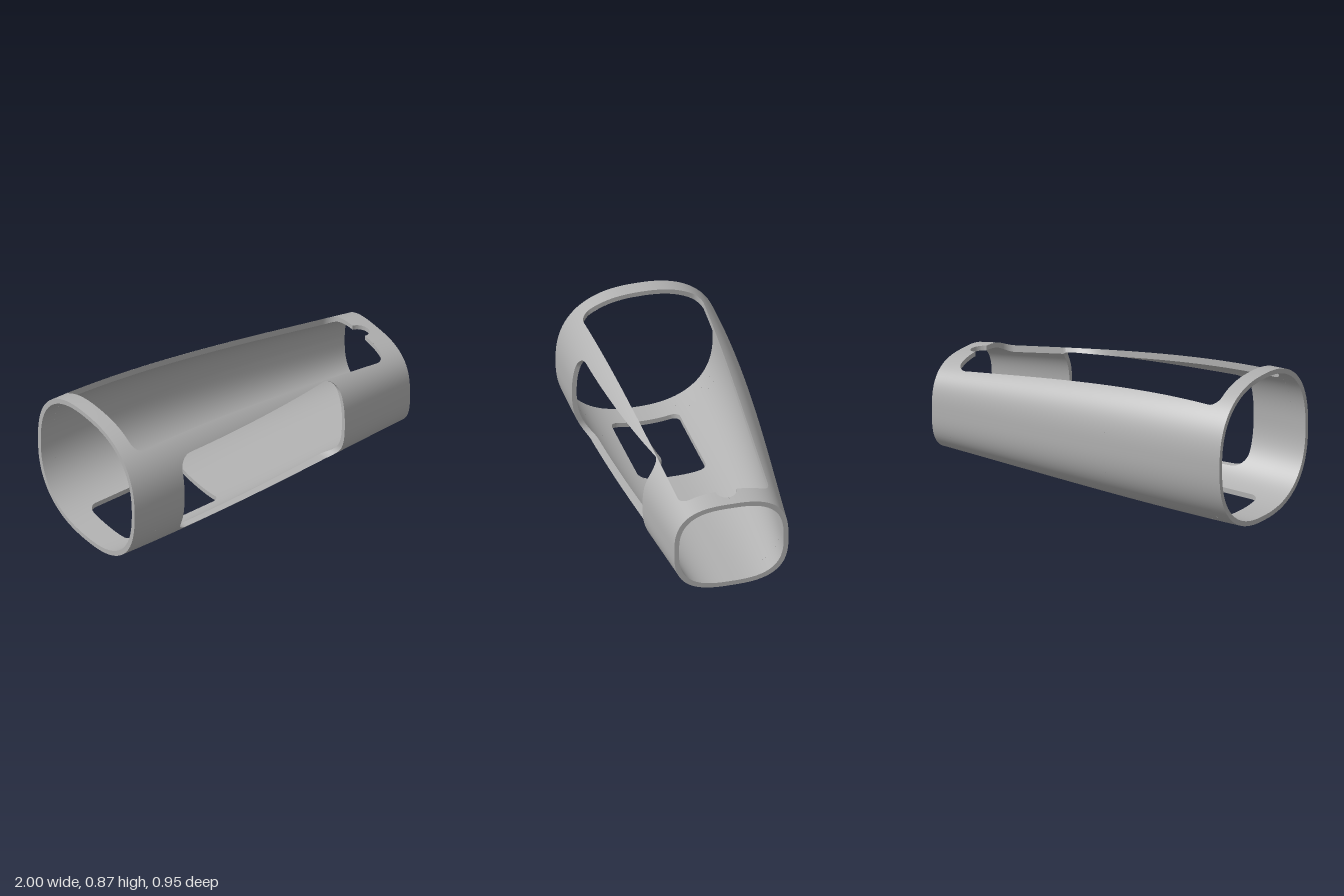
import * as THREE from 'three';
import { toCreasedNormals } from 'three/addons/utils/BufferGeometryUtils.js';

const WALL = 0.028;
const HALF_PI = Math.PI / 2;

// Smooth value along the length, from end values and end slopes
function ease(x, p0, m0, p1, m1) {
  const s = (x + 1) / 2, s2 = s * s, s3 = s2 * s;
  return p0 * (2 * s3 - 3 * s2 + 1) + 2 * m0 * (s3 - 2 * s2 + s)
    + p1 * (3 * s2 - 2 * s3) + 2 * m1 * (s3 - s2);
}

// Superellipse cross-section of the sleeve at x, shrunk by inset
function section(x, inset) {
  const top = ease(x, 0.873, 0, 0.667, -0.14);
  const bottom = ease(x, 0, 0.03, 0.115, 0.062);
  return {
    w: ease(x, 0.475, 0.025, 0.335, -0.1) - inset,
    h: (top - bottom) / 2 - inset,
    cy: (top + bottom) / 2,
    n: 2.42 + 0.45 * ((x + 1) / 2) ** 2,
  };
}

function point(x, phi, inset) {
  const { w, h, cy, n } = section(x, inset);
  const c = Math.cos(phi), s = Math.sin(phi);
  const r = (Math.abs(c / w) ** n + Math.abs(s / h) ** n) ** (-1 / n);
  return new THREE.Vector3(x, cy + r * s, r * c);
}

function normal(x, phi, inset) {
  const e = 1e-3;
  const dx = point(x + e, phi, inset).sub(point(x - e, phi, inset));
  const dp = point(x, phi + e, inset).sub(point(x, phi - e, inset));
  return dx.cross(dp).normalize();
}

// Angle of the wall point at a given z (upper half) or a given y (front half)
function angleAtZ(x, z, inset) {
  const { w, h, n } = section(x, inset);
  const k = Math.min(1, Math.abs(z) / w);
  return Math.atan2(h * (1 - k ** n) ** (1 / n), z);
}
function angleAtY(x, y, inset) {
  const { w, h, cy, n } = section(x, inset);
  const k = Math.min(1, Math.abs(y - cy) / h);
  return Math.atan2(y - cy, w * (1 - k ** n) ** (1 / n));
}

// Rounded rectangular openings: extent a..b, half-width, corner radius
const TOP = { a: -0.908, b: 0.882, half: x => 0.308 - 0.053 * x, r: 0.06 };
const FRONT = { a: -0.655, b: 0.514, half: () => 0.266, r: 0.08 };
const BOTTOM = { a: -0.845, b: -0.218, half: () => 0.2, r: 0.05 };
const NOTCH = 0.06;
const FRONT_MID = 0.415;

function halfWidth(o, x) {
  if (x <= o.a || x >= o.b) return 0;
  const d = Math.min(x - o.a, o.b - x);
  return o.half(x) - (d < o.r ? o.r - Math.sqrt(o.r ** 2 - (o.r - d) ** 2) : 0);
}
function openings(x) {
  const d = x - TOP.b;
  const top = d >= 0 && d < NOTCH ? Math.sqrt(NOTCH ** 2 - d * d) : halfWidth(TOP, x);
  return [top, halfWidth(FRONT, x), halfWidth(BOTTOM, x)];
}

// Stations along x; straight opening ends become several stations at one x
function makeStations() {
  const xs = [];
  for (let i = 0; i <= 64; i++) xs.push(-1 + i / 32);
  for (const o of [TOP, FRONT, BOTTOM]) {
    for (let k = 0; k <= 8; k++) {
      const d = o.r * (1 - Math.cos(k / 8 * HALF_PI));
      xs.push(o.a + d, o.b - d);
    }
  }
  for (let k = 1; k <= 10; k++) xs.push(TOP.b + NOTCH * Math.sin(k / 10 * HALF_PI));
  xs.sort((p, q) => p - q);
  const stations = [];
  xs.forEach((x, i) => {
    if (i && x - xs[i - 1] < 1e-4) return;
    const before = openings(x - 1e-5), after = openings(x + 1e-5);
    const jump = before.some((v, k) => Math.abs(v - after[k]) > 0.01);
    const steps = jump ? 14 : 0;
    for (let k = 0; k <= steps; k++) {
      const t = jump ? k / steps : 0.5;
      stations.push({ x, open: before.map((v, m) => v + (after[m] - v) * t) });
    }
  });
  return stations;
}

// Angle range of each solid panel, and the openings at its low and high edge
const PANELS = [
  { name: 'frontUpperPanel', segs: 28, lo: 1, hi: 0, range: ({ x, open }, t) =>
    [angleAtY(x, FRONT_MID + open[1], t), angleAtZ(x, open[0], t)] },
  { name: 'backPanel', segs: 64, lo: 0, hi: 2, range: ({ x, open }, t) =>
    [angleAtZ(x, -open[0], t), 2 * Math.PI - angleAtZ(x, -open[2], t)] },
  { name: 'frontLowerPanel', segs: 28, lo: 2, hi: 1, range: ({ x, open }, t) =>
    [-angleAtZ(x, open[2], t), angleAtY(x, FRONT_MID - open[1], t)] },
];

function edgesOf(panel, station, inset) {
  const [lo, hi] = panel.range(station, inset);
  return lo < hi ? [lo, hi] : [(lo + hi) / 2, (lo + hi) / 2];
}

// Smooth outer or inner skin of a panel
function skin(panel, stations, inset) {
  const pos = [], nor = [], index = [], row = panel.segs + 1;
  stations.forEach((st, i) => {
    const [lo, hi] = edgesOf(panel, st, inset);
    for (let j = 0; j < row; j++) {
      const phi = lo + (hi - lo) * j / panel.segs;
      pos.push(...point(st.x, phi, inset).toArray());
      nor.push(...normal(st.x, phi, inset).multiplyScalar(inset ? -1 : 1).toArray());
      if (!i || !j) continue;
      const d = i * row + j, c = d - 1, b = d - row, a = b - 1;
      if (inset) index.push(a, b, c, b, d, c);
      else index.push(a, c, b, b, c, d);
    }
  });
  const g = new THREE.BufferGeometry();
  g.setAttribute('position', new THREE.Float32BufferAttribute(pos, 3));
  g.setAttribute('normal', new THREE.Float32BufferAttribute(nor, 3));
  g.setIndex(index);
  return g;
}

// Wall thickness: cut edges of the openings and the two end rims
function rim(panel, stations) {
  const pos = [];
  const quad = (o0, i0, o1, i1, flip) => {
    const order = flip ? [o0, o1, i0, i0, o1, i1] : [o0, i0, o1, i0, i1, o1];
    for (const p of order) pos.push(...p.toArray());
  };
  const rows = stations.map(st => ({
    st, outer: edgesOf(panel, st, 0), inner: edgesOf(panel, st, WALL),
  }));
  const at = (r, inset, t) => {
    const [lo, hi] = inset ? r.inner : r.outer;
    return point(r.st.x, lo + (hi - lo) * t, inset);
  };
  for (let i = 1; i < rows.length; i++) {
    const p = rows[i - 1], q = rows[i];
    if (Math.max(p.outer[1] - p.outer[0], q.outer[1] - q.outer[0]) < 1e-4) continue;
    [panel.lo, panel.hi].forEach((o, side) => {
      if (p.st.open[o] + q.st.open[o] < 0.002) return;
      quad(at(p, 0, side), at(p, WALL, side), at(q, 0, side), at(q, WALL, side), side === 1);
    });
  }
  [rows[0], rows[rows.length - 1]].forEach((r, end) => {
    for (let j = 0; j < panel.segs; j++) {
      const s = j / panel.segs, t = (j + 1) / panel.segs;
      quad(at(r, 0, s), at(r, WALL, s), at(r, 0, t), at(r, WALL, t), end === 0);
    }
  });
  const g = new THREE.BufferGeometry();
  g.setAttribute('position', new THREE.Float32BufferAttribute(pos, 3));
  g.computeVertexNormals();
  return toCreasedNormals(g, 0.5);
}

export function createModel() {
  const grey = new THREE.MeshStandardMaterial({ color: 0xb2b2b2, side: THREE.DoubleSide });
  grey.name = 'grey';
  const model = new THREE.Group();
  model.name = 'taperedSleeve';
  const stations = makeStations();
  for (const panel of PANELS) {
    const group = new THREE.Group();
    group.name = panel.name;
    const parts = { outerSkin: skin(panel, stations, 0), innerSkin: skin(panel, stations, WALL), cutEdges: rim(panel, stations) };
    for (const [name, geometry] of Object.entries(parts)) {
      const mesh = new THREE.Mesh(geometry, grey);
      mesh.name = name;
      group.add(mesh);
    }
    model.add(group);
  }
  return model;
}
